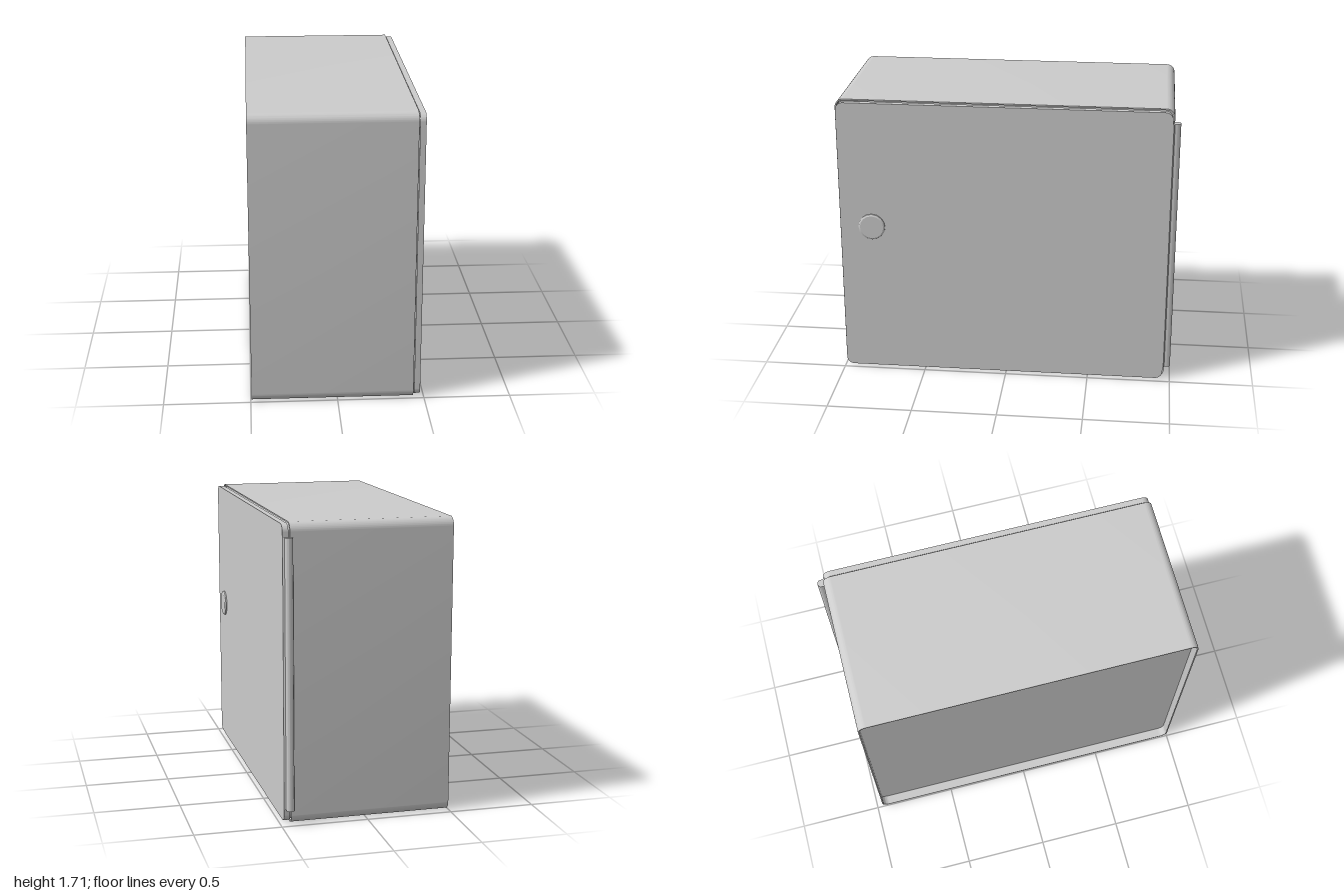
import * as THREE from 'three';
import { toCreasedNormals } from 'three/addons/utils/BufferGeometryUtils.js';

const material = new THREE.MeshStandardMaterial({ color: 0xcccccc });
const HEIGHT = 1.71;
const FRONT = 1.0;
const BACK = -0.965;

// Rounded outline of the cabinet side, drawn as (-z, y) and inset by a margin
function outline(inset, radius, Path = THREE.Shape) {
  const x0 = -FRONT + inset, x1 = -BACK - inset;
  const y0 = inset, y1 = HEIGHT - inset, r = radius;
  const p = new Path();
  p.moveTo(x0 + r, y0);
  p.lineTo(x1 - r, y0);
  p.absarc(x1 - r, y0 + r, r, -Math.PI / 2, 0);
  p.lineTo(x1, y1 - r);
  p.absarc(x1 - r, y1 - r, r, 0, Math.PI / 2);
  p.lineTo(x0 + r, y1);
  p.absarc(x0 + r, y1 - r, r, Math.PI / 2, Math.PI);
  p.lineTo(x0, y0 + r);
  p.absarc(x0 + r, y0 + r, r, Math.PI, Math.PI * 1.5);
  return p;
}

// Extrudes an outline along x, from one x position to another
function slab(name, shape, from, to) {
  const geometry = new THREE.ExtrudeGeometry(shape, { depth: to - from, bevelEnabled: false, curveSegments: 8 });
  geometry.rotateY(Math.PI / 2).translate(from, 0, 0);
  const mesh = new THREE.Mesh(toCreasedNormals(geometry, 0.6), material);
  mesh.name = name;
  return mesh;
}

export function createModel() {
  const group = new THREE.Group();
  group.name = 'wallCabinet';

  // Thin wrap-around shell, with a recessed panel closing it
  const shell = outline(0, 0.05);
  shell.holes.push(outline(0.008, 0.042, THREE.Path));
  group.add(slab('shell', shell, -0.495, 0.438));
  group.add(slab('backPanel', outline(0.007, 0.043), -0.44, -0.43));

  // Door, separated from the shell by a narrow gasket groove
  group.add(slab('gasket', outline(0.018, 0.034), 0.42, 0.446));
  group.add(slab('door', outline(0.01, 0.045), 0.444, 0.478));

  // Hinge barrel with a leaf to the door; the profile is drawn as (x, -z)
  const profile = new THREE.Shape();
  profile.moveTo(0.424, 0.962);
  profile.lineTo(0.424, 0.978);
  profile.absarc(0.446, 0.978, 0.022, Math.PI, 0, true);
  profile.lineTo(0.468, 0.965);
  profile.lineTo(0.478, 0.959);
  profile.lineTo(0.478, 0.945);
  profile.lineTo(0.45, 0.945);
  profile.lineTo(0.45, 0.962);
  const hingeGeometry = new THREE.ExtrudeGeometry(profile, { depth: 1.545, bevelEnabled: false, curveSegments: 10 });
  hingeGeometry.rotateX(-Math.PI / 2).translate(0, 0.085, 0);
  const hinge = new THREE.Mesh(toCreasedNormals(hingeGeometry, 0.6), material);
  hinge.name = 'hinge';
  group.add(hinge);

  // Round lock button with a chamfered rim
  const rim = [[0, 0], [0.08, 0], [0.08, 0.009], [0.07, 0.015], [0, 0.015]]
    .map(([r, h]) => new THREE.Vector2(r, h));
  const lockGeometry = new THREE.LatheGeometry(rim, 16);
  lockGeometry.rotateZ(-Math.PI / 2);
  const lock = new THREE.Mesh(toCreasedNormals(lockGeometry, 0.45), material);
  lock.name = 'lock';
  lock.position.set(0.477, 0.935, 0.8);
  group.add(lock);

  return group;
}
